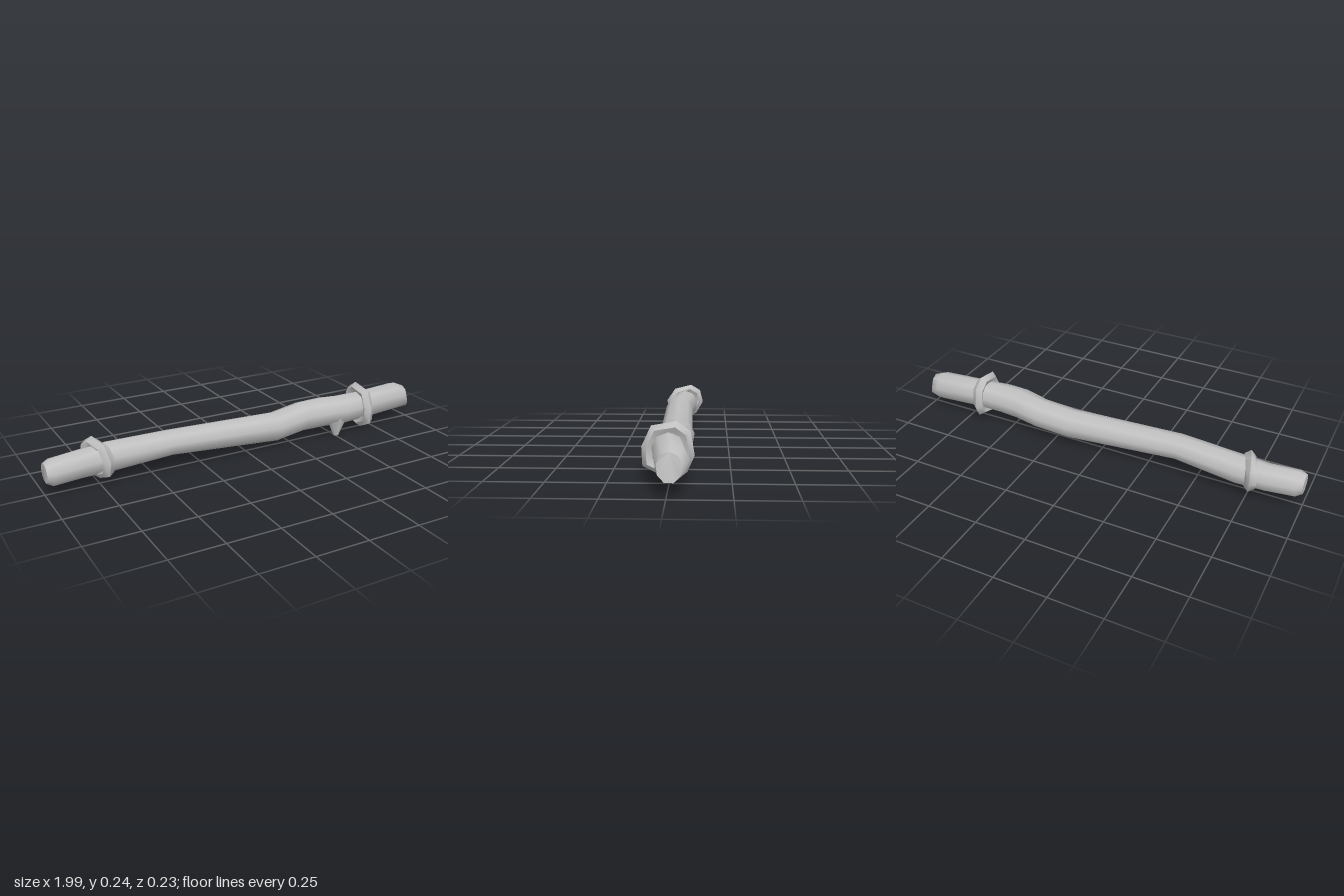
import * as THREE from 'three';
import { toCreasedNormals } from 'three/addons/utils/BufferGeometryUtils.js';

// Skin equal-sized cross-sections; closed joins last to first, otherwise ends are capped
function loft(sections, closed) {
  const n = sections[0].length, m = sections.length;
  const pos = sections.flat(2), idx = [];
  for (let i = 0; i < (closed ? m : m - 1); i++) {
    const k = (i + 1) % m;
    for (let j = 0; j < n; j++) {
      const l = (j + 1) % n;
      const a = i * n + j, b = i * n + l, c = k * n + j, d = k * n + l;
      idx.push(a, b, c, b, d, c);
    }
  }
  if (!closed) {
    for (let j = 1; j < n - 1; j++) {
      const e = (m - 1) * n;
      idx.push(0, j + 1, j, e, e + j, e + j + 1);
    }
  }
  const g = new THREE.BufferGeometry();
  g.setAttribute('position', new THREE.Float32BufferAttribute(pos, 3));
  g.setIndex(idx);
  return toCreasedNormals(g, 1.0);
}

// Knotted ring from its outer outline of [z, y] corners
function ringGeometry(outline, x, slope, cy, cz) {
  const profile = [[0, 0], [-0.027, 0.022], [-0.015, 0.05], [0.015, 0.05], [0.027, 0.022]];
  const sections = outline.map(([z, y]) => {
    const r = Math.hypot(z - cz, y - cy);
    return profile.map(([dx, inset]) => {
      const s = 1 - inset / r;
      const pz = cz + (z - cz) * s;
      return [x + slope * z + dx, cy + (y - cy) * s, pz];
    });
  });
  return loft(sections, true);
}

export function createModel() {
  const group = new THREE.Group();
  const grey = new THREE.MeshStandardMaterial({ color: 0xc0c0c0 });
  grey.name = 'grey wood';
  const add = (name, geometry) => {
    const mesh = new THREE.Mesh(geometry, grey);
    mesh.name = name;
    group.add(mesh);
    return mesh;
  };

  // Crooked shaft: x, bottom, top, back, front, lean of the cut
  const stations = [
    [-0.995, 0.065, 0.155, -0.04, 0.058, 0],
    [-0.965, 0.045, 0.17, -0.058, 0.068, 0],
    [-0.83, 0.045, 0.175, -0.08, 0.052, 0],
    [-0.69, 0.045, 0.186, -0.088, 0.052, 0],
    [-0.4, 0.072, 0.19, -0.068, 0.072, 0],
    [0.17, 0.025, 0.17, -0.08, 0.07, 0],
    [0.33, 0.043, 0.19, -0.094, 0.06, 0],
    [0.45, 0.052, 0.2, -0.08, 0.085, 0],
    [0.55, 0.05, 0.197, -0.068, 0.093, 0],
    [0.7, 0.052, 0.197, -0.064, 0.075, 0],
    [0.92, 0.055, 0.197, -0.088, 0.052, 0],
    [0.978, 0.06, 0.175, -0.062, 0.04, -0.012],
  ];
  const sides = 9;
  const sections = stations.map(([x, y0, y1, z0, z1, lean]) =>
    Array.from({ length: sides }, (_, j) => {
      const a = (j / sides) * Math.PI * 2;
      return [
        x + lean * Math.cos(a) + (lean ? 0.008 * Math.cos(2 * a) : 0),
        (y0 + y1) / 2 + Math.cos(a) * (y1 - y0) / 2,
        (z0 + z1) / 2 + Math.sin(a) * (z1 - z0) / 2,
      ];
    }));
  add('shaft', loft(sections, false));

  // Bands near both ends
  add('leftBand', ringGeometry([
    [-0.027, 0.24], [0.077, 0.222], [0.117, 0.135], [0.113, 0.055],
    [0.03, 0.012], [-0.075, 0.043], [-0.1, 0.1], [-0.083, 0.2],
  ], 0.672, 0.0, 0.125, 0.005));
  add('rightBand', ringGeometry([
    [-0.05, 0.215], [0.04, 0.195], [0.085, 0.13], [0.07, 0.055],
    [-0.01, 0.022], [-0.08, 0.05], [-0.118, 0.115], [-0.102, 0.182],
  ], -0.742, 0.28, 0.115, -0.015));

  // Broken twig stub under the shaft
  const stub = add('twigStub', toCreasedNormals(
    new THREE.CylinderGeometry(0.055, 0.013, 0.09, 6), 1.0));
  stub.scale.z = 0.75;
  stub.position.set(0.505, 0.048, 0.05);
  stub.rotation.set(-0.15, 0, -0.1);

  return group;
}
